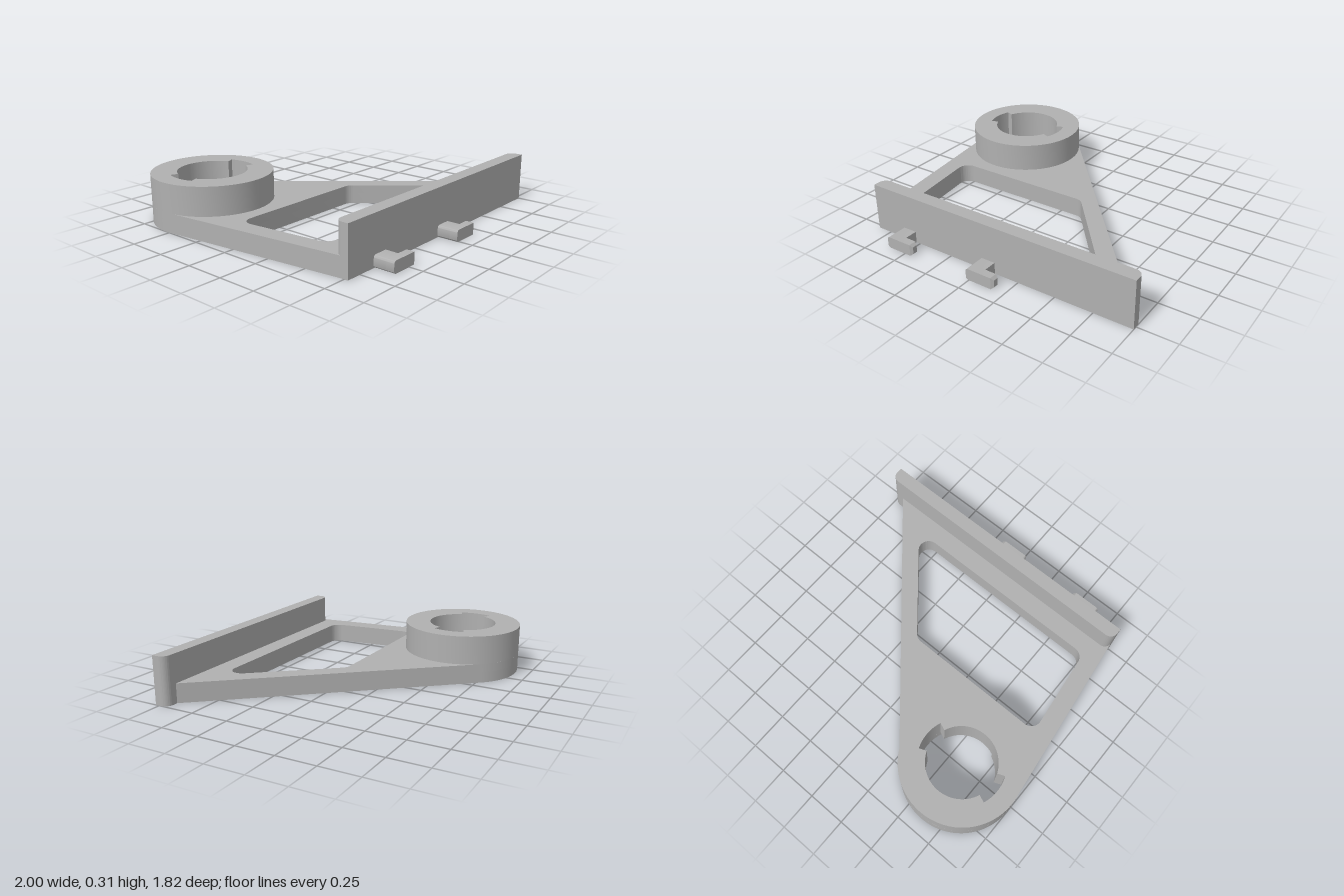
import * as THREE from 'three';
import { toCreasedNormals } from 'three/addons/utils/BufferGeometryUtils.js';

const RAD = Math.PI / 180;
const CX = -0.617, CZ = -0.53, R = 0.383;   // collar centre and radius
const BASE = 0.125, LEDGE = 0.07, TOP = 0.31;

// Polygon with corners [x, z, radius], each rounded by a true arc
function roundedPolygon(corners, Type = THREE.Shape) {
  const path = new Type();
  corners.forEach(([x, z, r], i) => {
    const n = corners.length;
    const p = new THREE.Vector2(x, z);
    const [a, b] = [corners[(i + n - 1) % n], corners[(i + 1) % n]]
      .map(c => new THREE.Vector2(c[0], c[1]).sub(p).normalize());
    if (!r) {
      if (i === 0) path.moveTo(x, z); else path.lineTo(x, z);
      return;
    }
    const half = Math.acos(a.dot(b)) / 2;
    const c = a.clone().add(b).normalize().multiplyScalar(r / Math.sin(half)).add(p);
    const t = r / Math.tan(half);
    const s = a.clone().multiplyScalar(t).add(p).sub(c).angle();
    const e = b.clone().multiplyScalar(t).add(p).sub(c).angle();
    path.absarc(c.x, c.y, r, s, e, a.cross(b) > 0);
  });
  path.closePath();
  return path;
}

// Bore that widens to the slot radius within the given angular sectors
function bore(sectors) {
  const path = new THREE.Path();
  sectors.forEach(([a, b], i) => {
    const next = i + 1 < sectors.length ? sectors[i + 1][0] : sectors[0][0] + 360;
    path.absarc(CX, CZ, 0.27, a * RAD, b * RAD, false);
    path.absarc(CX, CZ, 0.22, b * RAD, next * RAD, false);
  });
  path.closePath();
  return path;
}

// Plan shape (x, z) raised from y0 to y1
function slab(shape, y0, y1) {
  const g = new THREE.ExtrudeGeometry(shape, { depth: y1 - y0, bevelEnabled: false, curveSegments: 32 });
  g.rotateX(Math.PI / 2).translate(0, y1, 0);
  return toCreasedNormals(g, 0.5);
}

export function createModel() {
  const model = new THREE.Group();
  model.name = 'bracket';
  const grey = new THREE.MeshStandardMaterial({ color: 0xb0b0b0 });
  grey.name = 'grey plastic';
  const add = (name, geometry, parent = model) => {
    const mesh = new THREE.Mesh(geometry, grey);
    mesh.name = name;
    parent.add(mesh);
    return mesh;
  };

  const slots = [[-22, 22], [158, 202]];
  const grooves = [[-22, 114], [158, 294]];

  // Flat arm tangent to the collar, with a rounded window
  const arm = (sectors) => {
    const s = new THREE.Shape();
    s.moveTo(-0.85, 0.73);
    s.lineTo(0.92, 0.73);
    s.lineTo(0.92, 0.69);
    s.absarc(CX, CZ, R, -40 * RAD, -187 * RAD, true);
    s.closePath();
    s.holes.push(bore(sectors), roundedPolygon([
      [-0.824, -0.055, 0.07], [0.15, -0.055, 0.07],
      [0.66, 0.56, 0.07], [-0.753, 0.56, 0.07],
    ], THREE.Path));
    return s;
  };
  add('armLower', slab(arm(grooves), 0, LEDGE));
  add('armUpper', slab(arm(slots), LEDGE, BASE));

  // Raised collar with two entry slots
  const ring = new THREE.Shape();
  ring.absarc(CX, CZ, R, 0, Math.PI * 2, false);
  ring.holes.push(bore(slots));
  add('collar', slab(ring, BASE, TOP));

  // Upright front plate with rounded back corners
  add('frontPlate', slab(roundedPolygon([
    [-0.85, 0.685, 0.05], [1, 0.685, 0.05], [1, 0.775, 0], [-0.85, 0.775, 0],
  ].reverse()), 0, TOP));

  // Two L-shaped hooks on the front of the plate
  const hookPart = (width, z0, z1) => {
    const s = roundedPolygon([[0, 0, 0.018], [width, 0, 0], [width, 0.075, 0], [0, 0.075, 0.018]]);
    const g = new THREE.ExtrudeGeometry(s, { depth: z1 - z0, bevelEnabled: false, curveSegments: 6 });
    return toCreasedNormals(g.translate(0, 0, z0), 0.5);
  };
  for (const x of [-0.635, -0.02]) {
    const hook = new THREE.Group();
    hook.name = 'hook';
    hook.position.x = x;
    add('hookPost', hookPart(0.105, 0.77, 0.858), hook);
    add('hookFinger', hookPart(0.18, 0.858, 0.91), hook);
    // Tapered tip: a four-sided frustum pointing along +x
    const tip = new THREE.CylinderGeometry(0.6 * Math.SQRT1_2, Math.SQRT1_2, 0.018, 4).toNonIndexed();
    tip.rotateY(Math.PI / 4).rotateZ(-Math.PI / 2).scale(1, 0.075, 0.052);
    tip.computeVertexNormals();
    add('hookTip', tip, hook).position.set(0.189, 0.0375, 0.884);
    model.add(hook);
  }
  return model;
}
